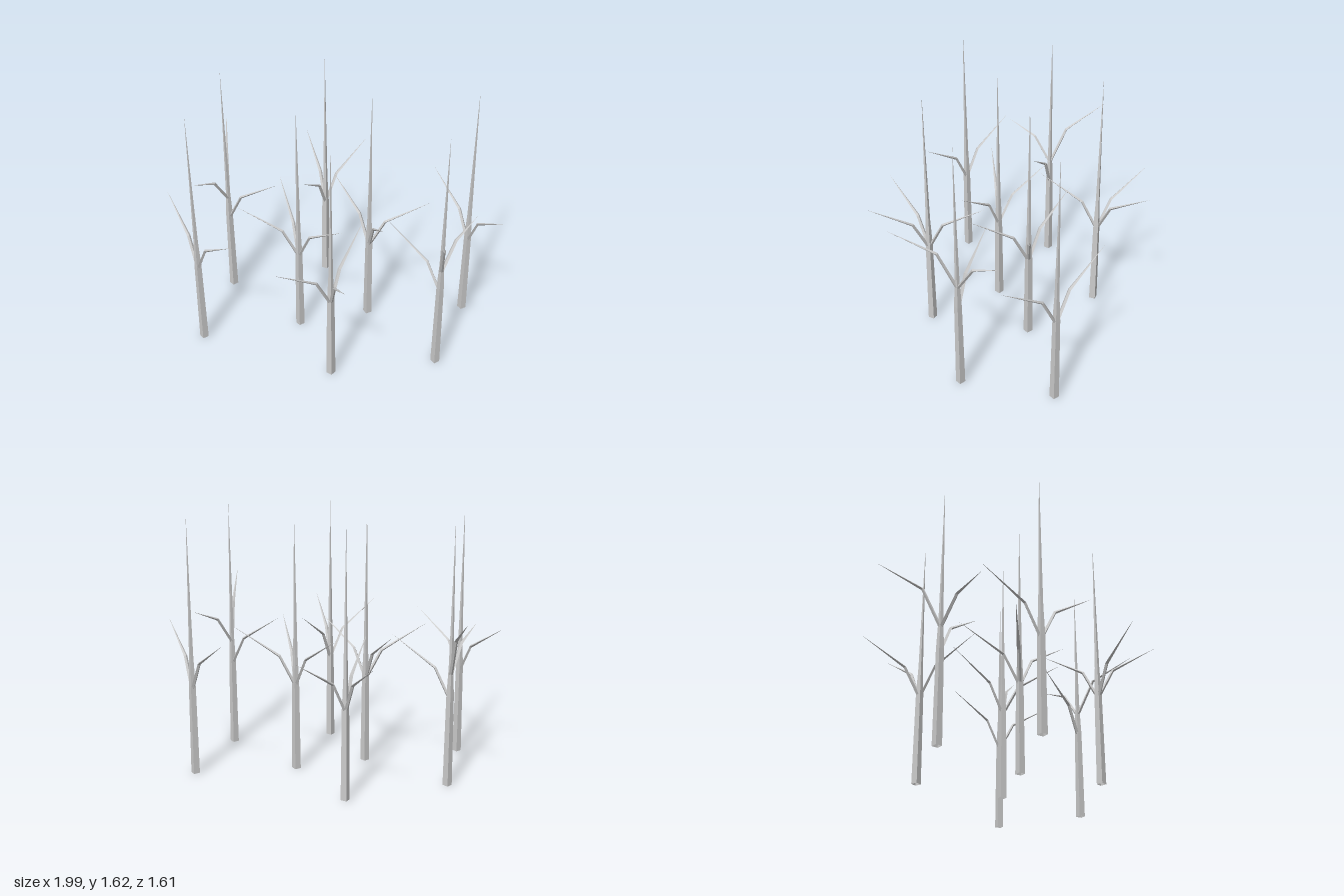
import * as THREE from 'three';

const deg = Math.PI / 180;
const bark = new THREE.MeshStandardMaterial({ color: 0xcccccc, flatShading: true, side: THREE.DoubleSide });

// Cross-sections: trunks are square, branches are diamonds a little wider than tall
const square = [[1, -1], [1, 1], [-1, 1], [-1, -1]];
const diamond = [[1, 0], [0, 1.25], [-1, 0], [0, -1.25]];

// Four-sided tube, open at the root, through points [x, y, width] lying in the local XY plane
function taper(section, points) {
  const pos = [], index = [];
  points.forEach(([x, y, width], i) => {
    const a = points[Math.max(i - 1, 0)], b = points[Math.min(i + 1, points.length - 1)];
    const t = new THREE.Vector2(b[0] - a[0], b[1] - a[1]).normalize();
    const h = width / 2;
    for (const [n, s] of section) pos.push(x - t.y * n * h, y + t.x * n * h, s * h);
    if (i === 0) return;
    for (let j = 0; j < 4; j++) {
      const k = (j + 1) % 4, lo = (i - 1) * 4, hi = i * 4;
      index.push(lo + j, lo + k, hi + k, lo + j, hi + k, hi + j);
    }
  });
  const g = new THREE.BufferGeometry();
  g.setAttribute('position', new THREE.Float32BufferAttribute(pos, 3));
  g.setIndex(index);
  const flat = g.toNonIndexed();
  flat.computeVertexNormals();
  return flat;
}

const trunkShape = taper(square, [[0, 0, 0.04], [0, 0.57, 0.032], [0, 0.75, 0.02], [0, 1.615, 0.0004]]);

// Bent branches, pointing along +x
const branchShapes = {
  low: taper(diamond, [[0, 0.548, 0.02], [0.1, 0.74, 0.018], [0.377, 0.914, 0.0004]]),
  mid: taper(diamond, [[0, 0.70, 0.02], [0.118, 0.875, 0.018], [0.308, 0.957, 0.0004]]),
  high: taper(diamond, [[0, 0.70, 0.02], [0.11, 0.945, 0.018], [0.38, 1.113, 0.0004]]),
};

// Three kinds of tree: branches as [shape, angle in degrees from +x towards +z]
const kinds = {
  threeEven: [['low', 82], ['low', 219], ['low', 288]],
  threeStaggered: [['high', 218], ['low', 339], ['mid', 79]],
  two: [['low', 4], ['low', 176]],
};

// [kind, x, z, turn in degrees]
const trees = [
  ['threeEven', -0.338, -0.446, 0],
  ['threeEven', 0.156, -0.165, 120],
  ['threeEven', -0.165, 0.165, -68],
  ['threeEven', 0.25, 0.467, 188],
  ['threeStaggered', -0.79, 0.038, 18],
  ['threeStaggered', 0.76, 0.042, 206],
  ['two', 0.678, -0.53, 30],
  ['two', -0.632, 0.595, 203],
];

function makeTree(kind) {
  const tree = new THREE.Group();
  const trunk = new THREE.Mesh(trunkShape, bark);
  trunk.name = 'trunk';
  tree.add(trunk);
  for (const [shape, angle] of kinds[kind]) {
    const branch = new THREE.Mesh(branchShapes[shape], bark);
    branch.name = shape + 'Branch';
    branch.rotation.y = -angle * deg;
    tree.add(branch);
  }
  return tree;
}

export function createModel() {
  const grove = new THREE.Group();
  grove.name = 'bareTreeGrove';
  trees.forEach(([kind, x, z, turn], i) => {
    const tree = makeTree(kind);
    tree.name = 'tree' + (i + 1);
    tree.position.set(x, 0, z);
    tree.rotation.y = -turn * deg;
    grove.add(tree);
  });
  return grove;
}
